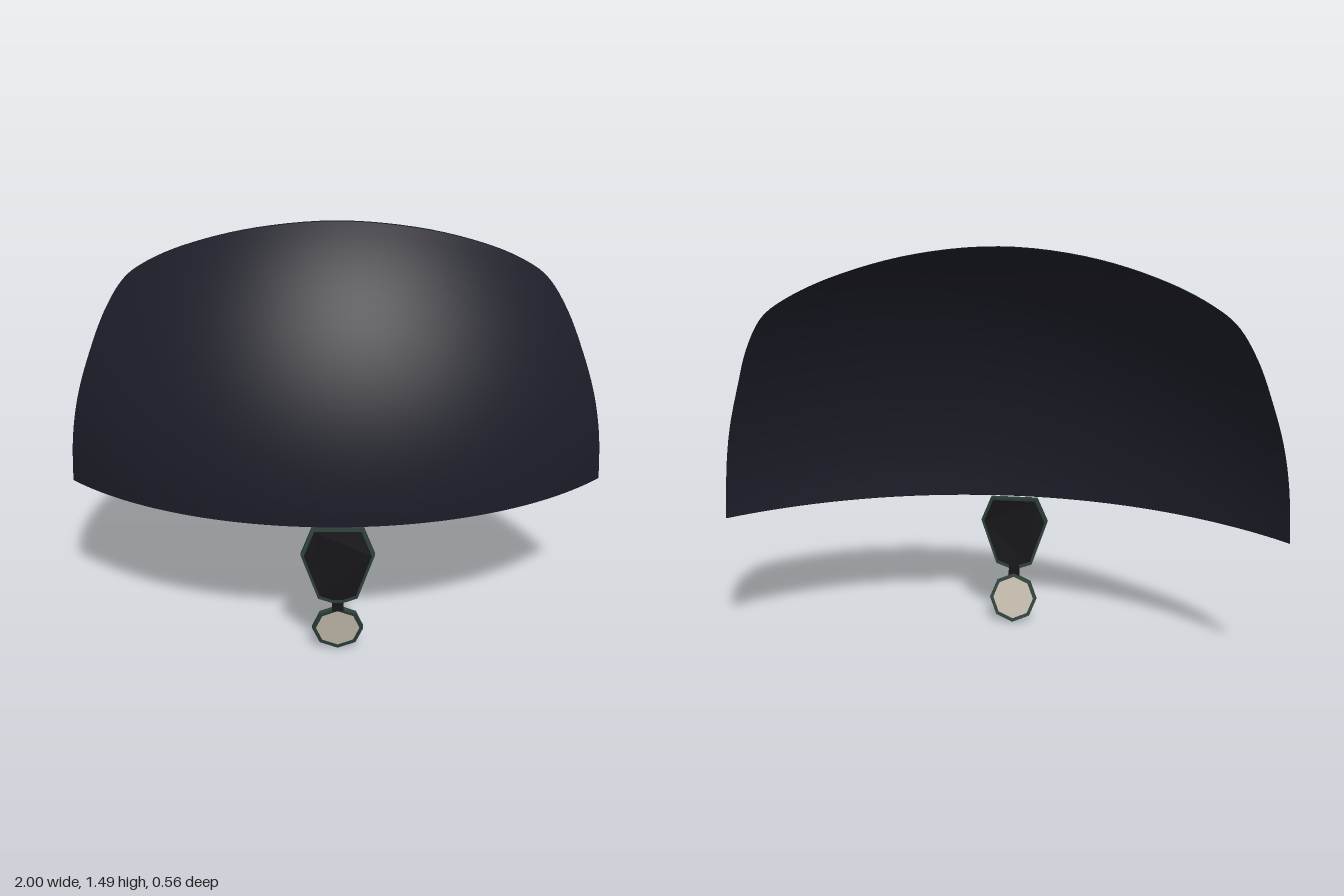
import * as THREE from 'three';
import { ParametricGeometry } from 'three/addons/geometries/ParametricGeometry.js';

const BASE = 0.51;
const THICK = 0.02;

// Right half of the visor outline (x, y), mirrored into one full arch
const half = [[1, 0.51], [0.985, 0.7], [0.957, 0.85], [0.91, 1.0], [0.85, 1.15], [0.78, 1.26],
  [0.7, 1.32], [0.55, 1.39], [0.3, 1.46]];
const arch = new THREE.CatmullRomCurve3(
  [...half, [0, 1.49], ...half.slice().reverse().map(([x, y]) => [-x, y])]
    .map(([x, y]) => new THREE.Vector3(x, y, 0)));

// Depth of the doubly curved outer face
function faceZ(x, y) {
  const dy = Math.max(0, y - 0.55);
  const across = 1.389 - Math.sqrt(1.929 - x * x);
  const upward = 1.28 - Math.sqrt(1.638 - dy * dy);
  return 0.27 - across - upward - 0.26 * x * x * dy * dy;
}

const p = new THREE.Vector3();

// Outer or inner skin, fanned from the middle of the lower edge
function skin(offset) {
  return (u, v, target) => {
    arch.getPoint(u, p);
    const x = p.x * v, y = BASE + (p.y - BASE) * v;
    target.set(x, y, faceZ(x, y) - offset);
  };
}

// Strips that close the shell along its arch and lower edge
function archRim(u, v, target) {
  arch.getPoint(u, p);
  target.set(p.x, p.y, faceZ(p.x, p.y) - v * THICK);
}
function lowerRim(u, v, target) {
  const x = 2 * u - 1;
  target.set(x, BASE - 0.004 * Math.sin(v * Math.PI), faceZ(x, BASE) - v * THICK);
}

function material(color, flat = false) {
  return new THREE.MeshStandardMaterial({ color, flatShading: flat, side: THREE.DoubleSide });
}

function addMesh(parent, name, geometry, mat) {
  const mesh = new THREE.Mesh(geometry, mat);
  mesh.name = name;
  parent.add(mesh);
  return mesh;
}

// Flat plate, centred in depth; a scaled copy of the outline can be cut out
function plate(points, depth, center, scale = 1, hole = 0) {
  const ring = s => points.map(([x, y]) => new THREE.Vector2(x * s, center + (y - center) * s));
  const shape = new THREE.Shape(ring(scale));
  if (hole) shape.holes.push(new THREE.Path(ring(hole).reverse()));
  return new THREE.ExtrudeGeometry(shape, { depth, bevelEnabled: false }).translate(0, 0, -depth / 2);
}

// Bends the pendant plate so that it bulges forward at its widest point
function bend(geometry) {
  const pos = geometry.attributes.position;
  for (let i = 0; i < pos.count; i++) {
    const y = pos.getY(i);
    const z = y > 0.4 ? 0.265 - (y - 0.4) * 0.12 : 0.265 - (0.4 - y) * 0.045;
    pos.setZ(i, pos.getZ(i) + z);
  }
  geometry.computeVertexNormals();
  return geometry;
}

export function createModel() {
  const model = new THREE.Group();
  model.name = 'visorWithPendant';
  const navy = material(0x1c1c28);
  const black = material(0x16161a, true);
  const green = material(0x2c3f39, true);
  const cream = material(0xc8bfb0, true);

  // Curved visor shell
  const visor = new THREE.Group();
  visor.name = 'visor';
  model.add(visor);
  for (const [name, offset] of [['outerSkin', 0], ['innerSkin', THICK]]) {
    const geometry = new ParametricGeometry(skin(offset), 96, 24);
    geometry.computeVertexNormals();
    addMesh(visor, name, geometry, navy);
  }
  addMesh(visor, 'archRim', new ParametricGeometry(archRim, 96, 1), navy);
  addMesh(visor, 'lowerRim', new ParametricGeometry(lowerRim, 64, 2), navy);

  // Hanging plate with a thin frame
  const pendant = new THREE.Group();
  pendant.name = 'pendant';
  model.add(pendant);
  const outline = [[-0.09, 0.502], [-0.13, 0.405], [-0.07, 0.23], [-0.02, 0.212],
    [0.02, 0.212], [0.07, 0.23], [0.13, 0.405], [0.09, 0.502]];
  addMesh(pendant, 'pendantFrame', bend(plate(outline, 0.02, 0.37, 1, 0.9)), green);
  addMesh(pendant, 'pendantPlate', bend(plate(outline, 0.026, 0.37, 0.91)), black);

  // Short link
  const link = addMesh(pendant, 'link', new THREE.BoxGeometry(0.04, 0.05, 0.018), black);
  link.position.set(0, 0.2, 0.253);

  // Tilted octagonal disc in a dark frame
  const disc = new THREE.Group();
  disc.name = 'disc';
  disc.position.set(0, 0.095, 0.231);
  disc.rotation.x = 0.22;
  pendant.add(disc);
  const octagon = Array.from({ length: 8 }, (_, i) => {
    const a = i * Math.PI / 4;
    return [0.092 * Math.sin(a), 0.096 * Math.cos(a)];
  });
  addMesh(disc, 'discFrame', plate(octagon, 0.018, 0, 1, 0.86), green);
  addMesh(disc, 'discFace', plate(octagon, 0.012, 0, 0.88), cream);

  return model;
}
